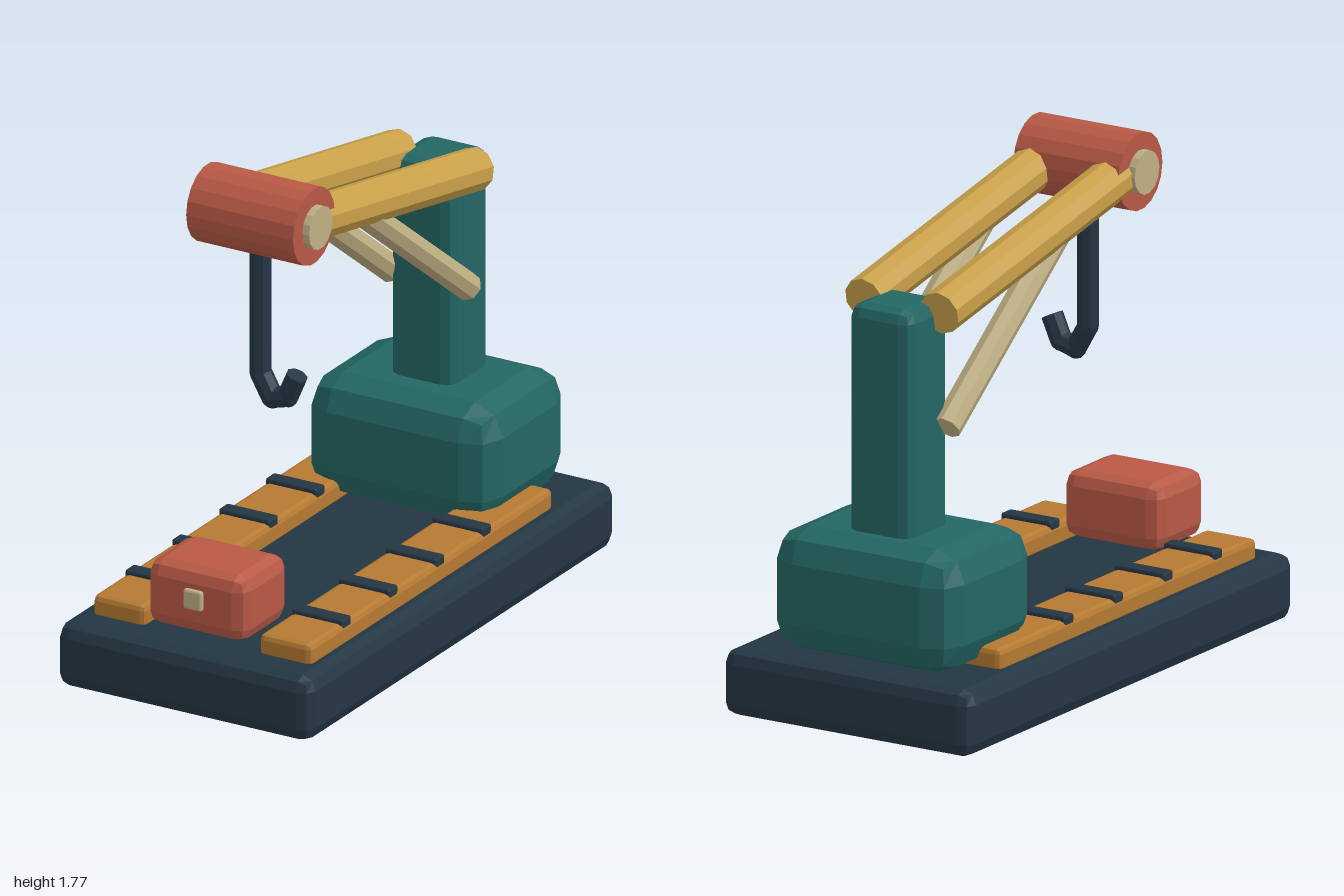
import * as THREE from 'three';
import { RoundedBoxGeometry } from 'three/addons/geometries/RoundedBoxGeometry.js';

export function createModel() {
  const group = new THREE.Group();
  group.name = 'crane';

  const material = (name, color) => {
    const m = new THREE.MeshStandardMaterial({ color, flatShading: true });
    m.name = name;
    return m;
  };
  const navy = material('navy', 0x243644);
  const teal = material('teal', 0x236663);
  const orange = material('orange', 0xb67a32);
  const yellow = material('yellow', 0xc9a04a);
  const tan = material('tan', 0xbfaf83);
  const red = material('red', 0xb85945);

  const add = (name, geometry, mat) => {
    const mesh = new THREE.Mesh(geometry, mat);
    mesh.name = name;
    group.add(mesh);
    return mesh;
  };

  // Chamfered block given by its lower and upper corners; the single-segment
  // rounding pulls faces in slightly, so the size is padded to compensate
  const block = (name, mat, a, b, r) => {
    const size = a.map((v, i) => b[i] - v + 0.19 * r);
    add(name, new RoundedBoxGeometry(...size, 1, r), mat)
      .position.set(...a.map((v, i) => (v + b[i]) / 2));
  };

  // Straight faceted bar between two points
  const bar = (name, mat, from, to, r, sides) => {
    const p = new THREE.Vector3(...from);
    const q = new THREE.Vector3(...to);
    const dir = q.clone().sub(p);
    const mesh = add(name, new THREE.CylinderGeometry(r, r, dir.length(), sides), mat);
    mesh.position.copy(p).add(q).multiplyScalar(0.5);
    mesh.quaternion.setFromUnitVectors(new THREE.Vector3(0, 1, 0), dir.normalize());
  };

  // Base, machine housing and mast
  block('base', navy, [-0.49, 0, -1], [0.49, 0.225, 1], 0.05);
  block('housing', teal, [-0.355, 0.235, -0.925], [0.355, 0.645, -0.375], 0.11);
  block('mast', teal, [-0.12, 0.5, -0.795], [0.12, 1.44, -0.547], 0.045);

  // Front box with its latch
  block('frontBox', red, [-0.19, 0.265, 0.625], [0.19, 0.493, 0.915], 0.05);
  block('latch', tan, [-0.035, 0.358, 0.9], [0.035, 0.428, 0.935], 0.008);

  for (const side of [1, -1]) {
    // Deck rails with cross straps
    const x = side * 0.324;
    block('rail', orange, [x - 0.1, 0.215, -0.7], [x + 0.1, 0.297, 0.87], 0.02);
    for (const z of [0.635, 0.332, 0.028, -0.275]) {
      block('strap', navy, [x - 0.099, 0.27, z - 0.029], [x + 0.099, 0.314, z + 0.029], 0.008);
    }
    // Boom beams and the struts below them
    const bx = side * 0.15;
    bar('boom', yellow, [bx, 1.415, -0.65], [bx, 1.635, 0.49], 0.076, 10);
    bar('strut', tan, [bx, 1.005, -0.605], [bx, 1.54, 0.1], 0.05, 8);
  }

  // Pulley drum and its axle
  bar('drum', red, [-0.208, 1.635, 0.49], [0.208, 1.635, 0.49], 0.136, 18);
  bar('axle', tan, [-0.235, 1.635, 0.49], [0.235, 1.635, 0.49], 0.076, 14);

  // Hook: bars along a bent line, with rounded joints
  const path = [[0, 1.58], [0, 1.063], [0.047, 0.98], [0.107, 0.997], [0.143, 1.08]];
  path.forEach(([x, y], i) => {
    if (i === 0) return;
    const [px, py] = path[i - 1];
    bar('hook', navy, [px, py, 0.49], [x, y, 0.49], 0.038, 8);
    if (i < path.length - 1) {
      add('hookJoint', new THREE.SphereGeometry(0.038, 8, 6), navy).position.set(x, y, 0.49);
    }
  });

  return group;
}
